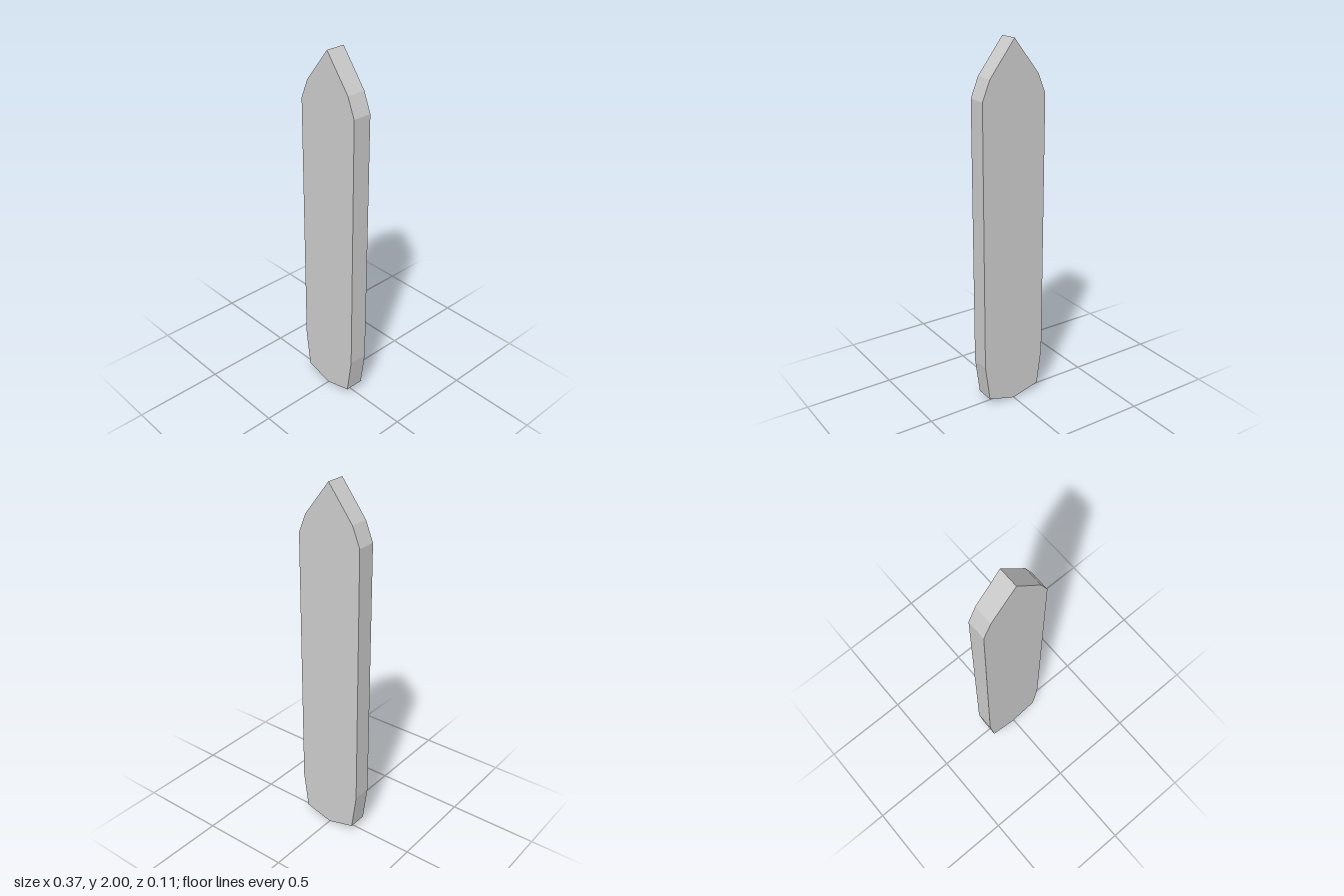
import * as THREE from 'three';

export function createModel() {
  const group = new THREE.Group();
  group.name = 'pointedPlank';

  // Right half of the outline from the bottom tip to the top point, mirrored for the left
  const half = [[0, 0], [0.158, 0.043], [0.186, 0.25], [0.186, 1.71], [0.143, 1.815], [0, 2]];
  const mirrored = half.slice(1, -1).reverse().map(([x, y]) => [-x, y]);
  const outline = [...half, ...mirrored].map(([x, y]) => new THREE.Vector2(x, y));

  // Flat slab with sharp edges, centred in depth
  const depth = 0.106;
  const geometry = new THREE.ExtrudeGeometry(new THREE.Shape(outline), { depth, bevelEnabled: false });
  geometry.translate(0, 0, -depth / 2);

  const material = new THREE.MeshStandardMaterial({ color: 0xcccccc, flatShading: true });
  const plank = new THREE.Mesh(geometry, material);
  plank.name = 'plank';
  group.add(plank);
  return group;
}
